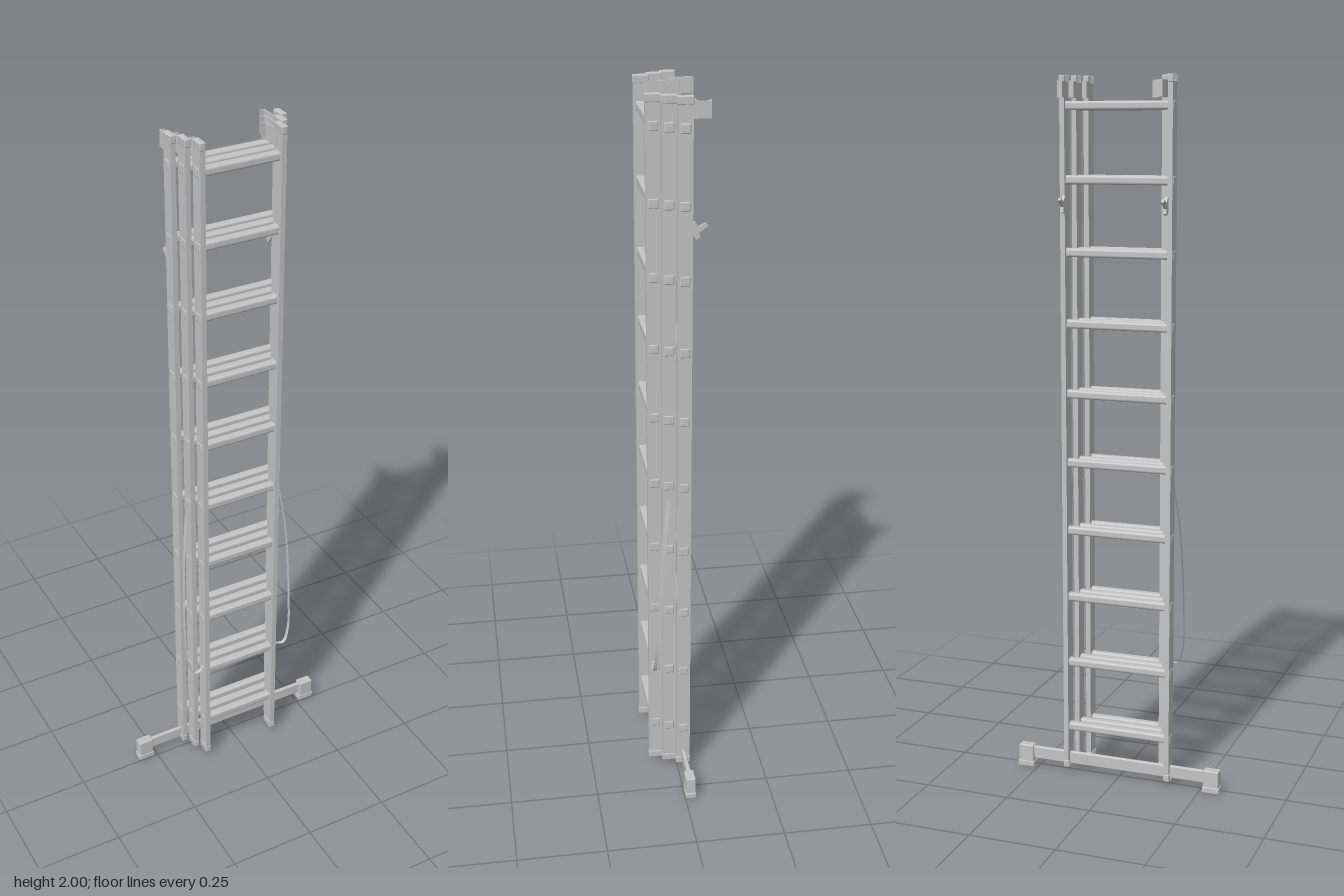
import * as THREE from 'three';
import { RoundedBoxGeometry } from 'three/addons/geometries/RoundedBoxGeometry.js';

const aluminium = new THREE.MeshStandardMaterial({ color: 0xc4c4c4, side: THREE.DoubleSide });
aluminium.name = 'aluminium';

function add(parent, name, geometry, x = 0, y = 0, z = 0) {
  const mesh = new THREE.Mesh(geometry, aluminium);
  mesh.name = name;
  mesh.position.set(x, y, z);
  parent.add(mesh);
  return mesh;
}

const box = (w, h, d) => new THREE.BoxGeometry(w, h, d);
const rounded = (w, h, d, r) => new RoundedBoxGeometry(w, h, d, 2, r);

// Plastic end cap with grip ribs on its inner and outer sides
function addCap(parent, x, y, z) {
  add(parent, 'railCap', rounded(0.017, 0.022, 0.042, 0.003), x, y, z);
  for (let i = -2; i <= 2; i++) add(parent, 'capRib', box(0.0195, 0.018, 0.003), x, y, z + i * 0.0068);
}

// One ladder section: two rails, ten rungs, collars and hooks
function ladderSection(name, railX, z, hookX, hookBack) {
  const section = new THREE.Group();
  section.name = name;
  for (const s of [-1, 1]) {
    add(section, 'rail', box(0.014, 1.96, 0.039), s * railX, 1.01, z);
    addCap(section, s * railX, 0.029, z);
    addCap(section, s * railX, 1.989, z);

    // Guide hook with an inward lip
    const front = z - 0.005;
    add(section, 'hookPlate', box(0.003, 0.044, front - hookBack), s * hookX, 1.962, (front + hookBack) / 2);
    add(section, 'hookLip', box(0.014, 0.044, 0.003), s * (hookX - 0.0055), 1.962, hookBack + 0.0015);
  }
  for (let i = 0; i < 10; i++) {
    const y = 0.143 + i * 0.1974;
    add(section, 'rung', rounded(railX * 2 + 0.018, 0.024, 0.025, 0.007), 0, y, z);
    for (const s of [-1, 1]) add(section, 'rungCollar', rounded(0.0175, 0.027, 0.028, 0.004), s * railX, y, z);
  }
  return section;
}

// Flat strap: a strip whose centre line follows a curve, wide along z
function strapGeometry(s) {
  const curve = new THREE.CatmullRomCurve3([
    [0.15, 0.89, 0.025], [0.166, 0.75, 0.042], [0.175, 0.5, 0.056],
    [0.17, 0.39, 0.064], [0.152, 0.345, 0.068], [0.12, 0.35, 0.064],
  ].map(([x, y, z]) => new THREE.Vector3(s * x, y, z)));
  const geometry = new THREE.PlaneGeometry(1, 1, 1, 32);
  const pos = geometry.attributes.position;
  for (let i = 0; i < pos.count; i++) {
    const p = curve.getPoint(0.5 - pos.getY(i));
    pos.setXYZ(i, p.x, p.y, p.z + pos.getX(i) * 0.012);
  }
  geometry.computeVertexNormals();
  return geometry;
}

// Safety latch: a small claw cut from plate
function latchGeometry() {
  const claw = new THREE.Shape([
    [-0.03, 1.672], [-0.03, 1.65], [-0.046, 1.632], [-0.056, 1.636], [-0.053, 1.65],
    [-0.077, 1.668], [-0.07, 1.675], [-0.052, 1.666], [-0.042, 1.68],
  ].map(([z, y]) => new THREE.Vector2(z, y)));
  const geometry = new THREE.ExtrudeGeometry(claw, { depth: 0.008, bevelEnabled: false });
  geometry.translate(0, 0, -0.004);
  geometry.rotateY(-Math.PI / 2);
  return geometry;
}

export function createModel() {
  const model = new THREE.Group();
  model.name = 'extensionLadder';

  // Three nested sections, widest at the back
  model.add(ladderSection('backSection', 0.154, -0.016, 0.146, -0.083));
  model.add(ladderSection('middleSection', 0.134, 0.0225, 0.127, -0.048));
  model.add(ladderSection('frontSection', 0.113, 0.06, 0.106, -0.004));

  // Stabiliser bar across the bottom of the back section
  add(model, 'stabiliserBar', rounded(0.56, 0.038, 0.012, 0.004), 0, 0.044, -0.017);

  for (const s of [-1, 1]) {
    // Rubber foot with a wider pad and a fixing screw
    add(model, 'stabiliserFoot', rounded(0.046, 0.06, 0.028, 0.004), s * 0.285, 0.037, -0.016);
    add(model, 'footPad', rounded(0.051, 0.018, 0.031, 0.003), s * 0.285, 0.009, -0.016);
    add(model, 'footScrew', new THREE.CylinderGeometry(0.004, 0.004, 0.003, 12), s * 0.285, 0.067, -0.016);

    add(model, 'safetyLatch', latchGeometry(), s * 0.147);
    add(model, 'strap', strapGeometry(s));
    add(model, 'strapAnchor', rounded(0.008, 0.012, 0.014, 0.002), s * 0.122, 0.35, 0.064);
  }
  return model;
}
